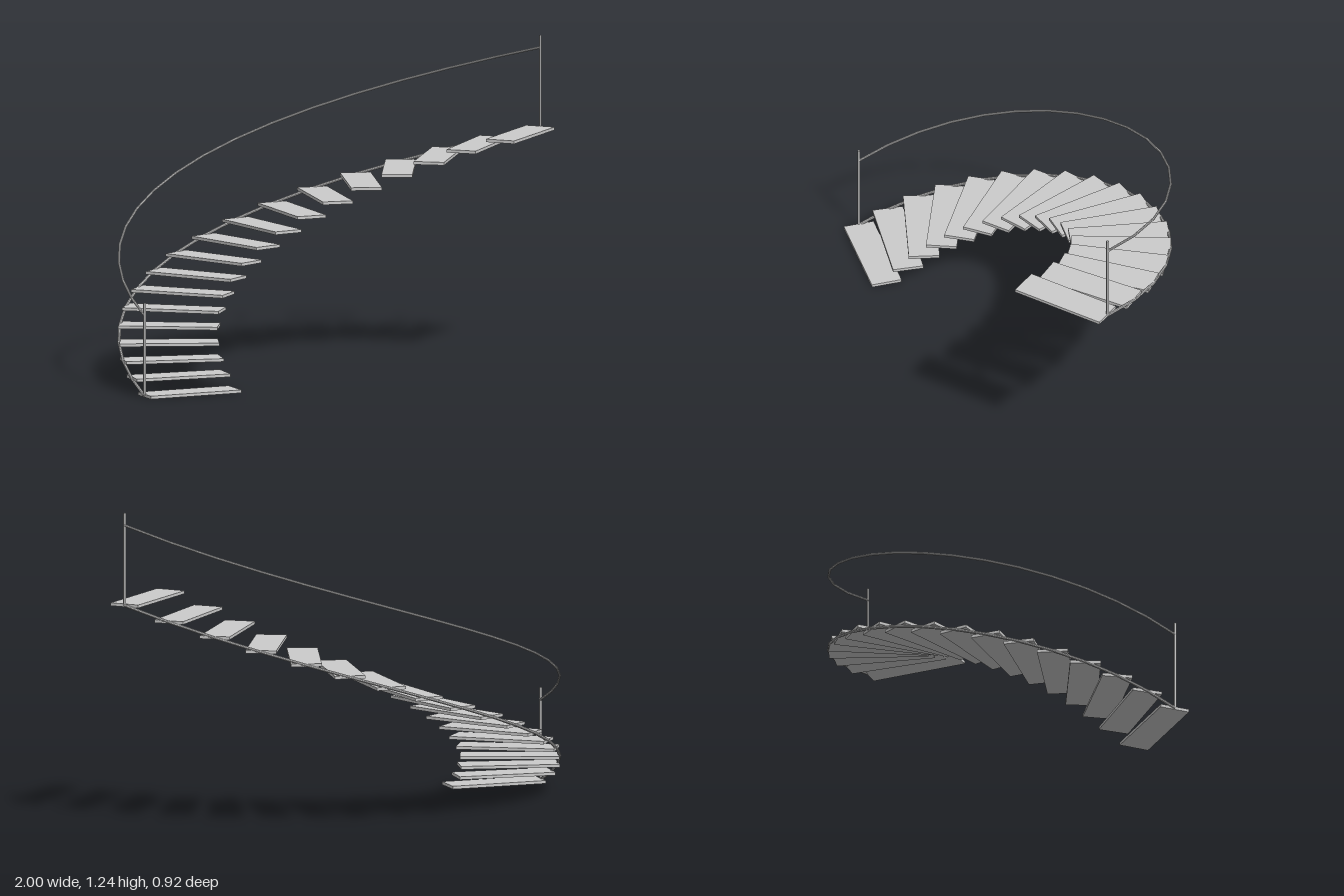
import * as THREE from 'three';

const STEPS = 18, RISE = 0.0513;
const LENGTH = 0.389, WIDTH = 0.121, THICK = 0.012, RAIL_HEIGHT = 0.317;
const material = new THREE.MeshStandardMaterial({ color: 0xcccccc, flatShading: true, side: THREE.DoubleSide });

// Widening spiral along the outer edge: each chord turns by a fixed angle and grows slightly
function spiralPoints() {
  const points = [];
  let x = -0.99, z = 0.335;
  for (let i = 0; i < STEPS; i++) {
    points.push(new THREE.Vector3(x, THICK / 2 + i * RISE, z));
    const angle = THREE.MathUtils.degToRad(9.2 + 8.66 * i);
    const chord = 0.1178 * 1.0322 ** i;
    x += chord * Math.sin(angle);
    z -= chord * Math.cos(angle);
  }
  return points;
}

export function createModel() {
  const group = new THREE.Group();
  const points = spiralPoints();

  function add(name, geometry) {
    const mesh = new THREE.Mesh(geometry, material);
    mesh.name = name;
    group.add(mesh);
    return mesh;
  }

  // Treads reach inward from the spiral, square to its direction
  const treadGeometry = new THREE.BoxGeometry(LENGTH, THICK, WIDTH).translate(-LENGTH / 2, 0, 0);
  points.forEach((p, i) => {
    const before = points[Math.max(i - 1, 0)];
    const after = points[Math.min(i + 1, STEPS - 1)];
    const dir = after.clone().sub(before);
    const tread = add('tread', treadGeometry);
    tread.position.copy(p);
    tread.rotation.y = Math.atan2(dir.x, dir.z);
  });

  // Tubes with one straight section per step
  function tube(name, height, radius) {
    const curve = new THREE.CatmullRomCurve3(points.map(p => p.clone().setY(p.y + height)));
    curve.getPointAt = (u, target) => curve.getPoint(u, target);
    curve.getTangentAt = (u, target) => curve.getTangent(u, target);
    add(name, new THREE.TubeGeometry(curve, STEPS - 1, radius, 8));
  }
  tube('stringer', 0, 0.006);
  tube('handrail', RAIL_HEIGHT, 0.005);

  // Square posts at the foot and head of the stair
  const postHeight = 0.366;
  const postGeometry = new THREE.BoxGeometry(0.008, postHeight, 0.008).translate(0, postHeight / 2, 0);
  add('footPost', postGeometry).position.copy(points[0]);
  add('headPost', postGeometry).position.copy(points[STEPS - 1]);

  return group;
}
